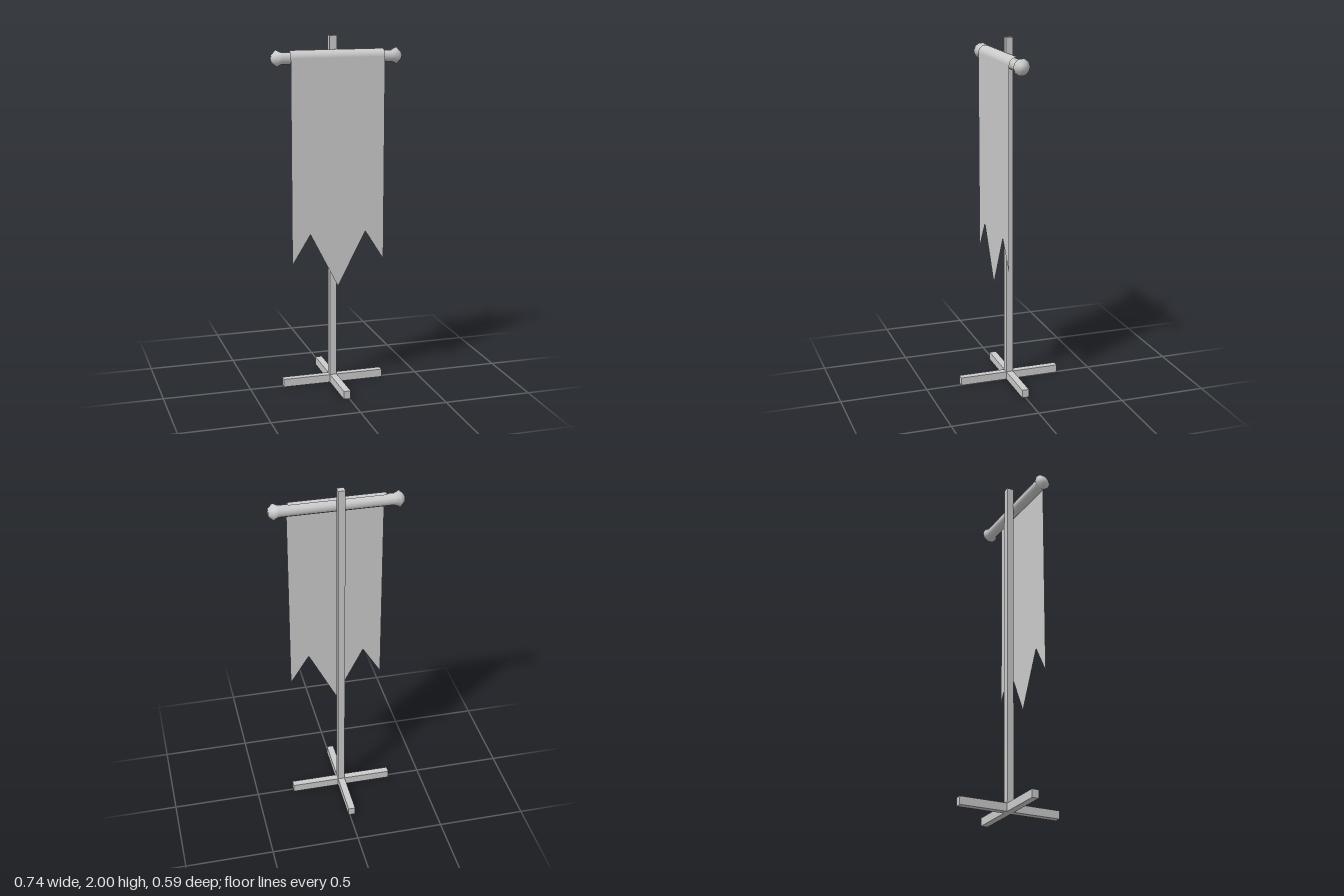
import * as THREE from 'three';

const grey = new THREE.MeshStandardMaterial({ color: 0xcccccc });
const clothGrey = new THREE.MeshStandardMaterial({ color: 0xcccccc, side: THREE.DoubleSide });

export function createModel() {
  const group = new THREE.Group();
  const add = (name, geometry, material, x, y, z) => {
    const mesh = new THREE.Mesh(geometry, material);
    mesh.name = name;
    mesh.position.set(x, y, z);
    group.add(mesh);
  };

  // Square pole and crossed feet
  const poleX = -0.012, poleZ = -0.001, bar = 0.04, foot = 0.592, footHeight = 0.046;
  add('pole', new THREE.BoxGeometry(bar, 2, bar), grey, poleX, 1, poleZ);
  add('sideFoot', new THREE.BoxGeometry(foot, footHeight, bar), grey, poleX, footHeight / 2, poleZ);
  add('frontFoot', new THREE.BoxGeometry(bar, footHeight, foot), grey, poleX, footHeight / 2, poleZ);

  // Crossbar with a flared knob at each end, turned as one piece
  const rodY = 1.885, rodZ = 0.048;
  const end = [[0, 0.368], [0.02, 0.368], [0.047, 0.341], [0.033, 0.314]];
  const profile = [
    ...end.map(([r, h]) => new THREE.Vector2(r, -h)),
    ...end.slice().reverse().map(([r, h]) => new THREE.Vector2(r, h)),
  ];
  const rod = new THREE.LatheGeometry(profile, 10).rotateZ(-Math.PI / 2);
  add('crossbar', rod, grey, 0, rodY, rodZ);

  // Cloth: a fold over the crossbar, then a flat sheet with a pointed hem
  const left = 0.263, right = -0.27, foldRadius = 0.042, foldAngle = 2.01;
  const fold = new THREE.CylinderGeometry(
    foldRadius, foldRadius, left - right, 8, 1, true, -foldAngle, foldAngle
  ).rotateZ(-Math.PI / 2);
  add('bannerFold', fold, clothGrey, (left + right) / 2, rodY, rodZ);

  const hem = [[right, 0.74], [-0.165, 0.91], [-0.005, 0.6], [0.155, 0.91], [left, 0.74]];
  const outline = [...hem, [left, rodY], [right, rodY]].map(([x, y]) => new THREE.Vector2(x, y));
  add('bannerSheet', new THREE.ShapeGeometry(new THREE.Shape(outline)), clothGrey, 0, 0, rodZ + foldRadius);

  return group;
}
